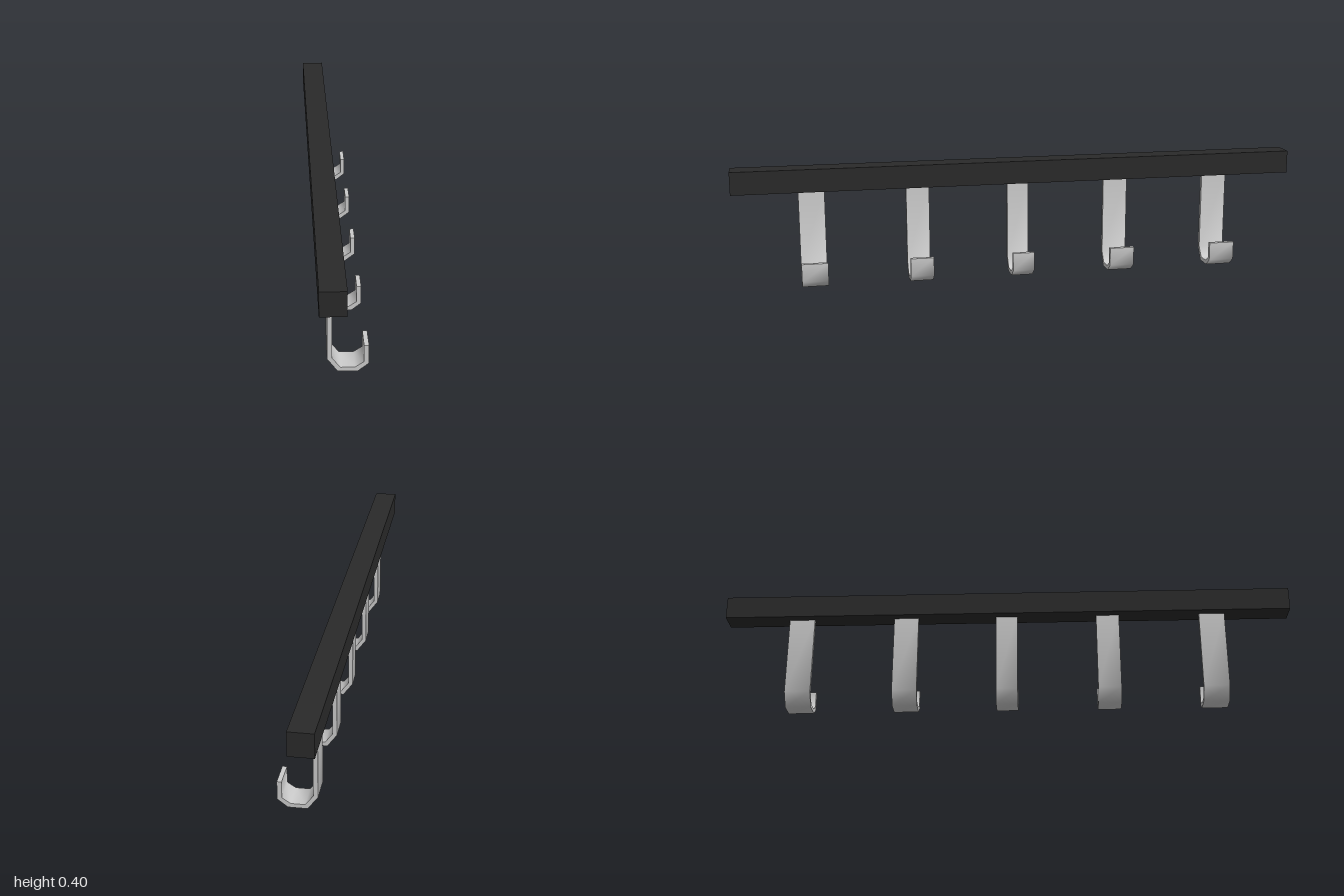
import * as THREE from 'three';
import { toCreasedNormals } from 'three/addons/utils/BufferGeometryUtils.js';

// J-shaped hook outline in the x-y plane: outer edge down, then inner edge back up
const HOOK_OUTLINE = [
  [-0.049, 0.33], [-0.049, 0.045], [-0.016, 0], [0.046, 0], [0.079, 0.026], [0.079, 0.089],
  [0.064, 0.089], [0.064, 0.032], [0.037, 0.014], [-0.008, 0.014], [-0.034, 0.048], [-0.034, 0.33],
];

// Each hook: [z centre, strip width]
const HOOKS = [[0.728, 0.09], [0.36, 0.081], [0.002, 0.076], [-0.356, 0.087], [-0.73, 0.09]];

export function createModel() {
  const group = new THREE.Group();
  group.name = 'hookRail';

  // Square bar running front to back
  const bar = new THREE.Mesh(
    new THREE.BoxGeometry(0.08, 0.08, 2),
    new THREE.MeshStandardMaterial({ color: 0x2a2a2a }),
  );
  bar.name = 'bar';
  bar.position.set(-0.04, 0.362, 0);
  group.add(bar);

  // Flat-strip hooks hanging from the bar, with softly shaded bends
  const metal = new THREE.MeshStandardMaterial({ color: 0xcccccc });
  const shape = new THREE.Shape(HOOK_OUTLINE.map(([x, y]) => new THREE.Vector2(x, y)));
  HOOKS.forEach(([z, width], i) => {
    const strip = new THREE.ExtrudeGeometry(shape, { depth: width, bevelEnabled: false });
    strip.translate(0, 0, -width / 2);
    const hook = new THREE.Mesh(toCreasedNormals(strip, Math.PI / 3), metal);
    hook.name = `hook${i + 1}`;
    hook.position.z = z;
    group.add(hook);
  });

  return group;
}
